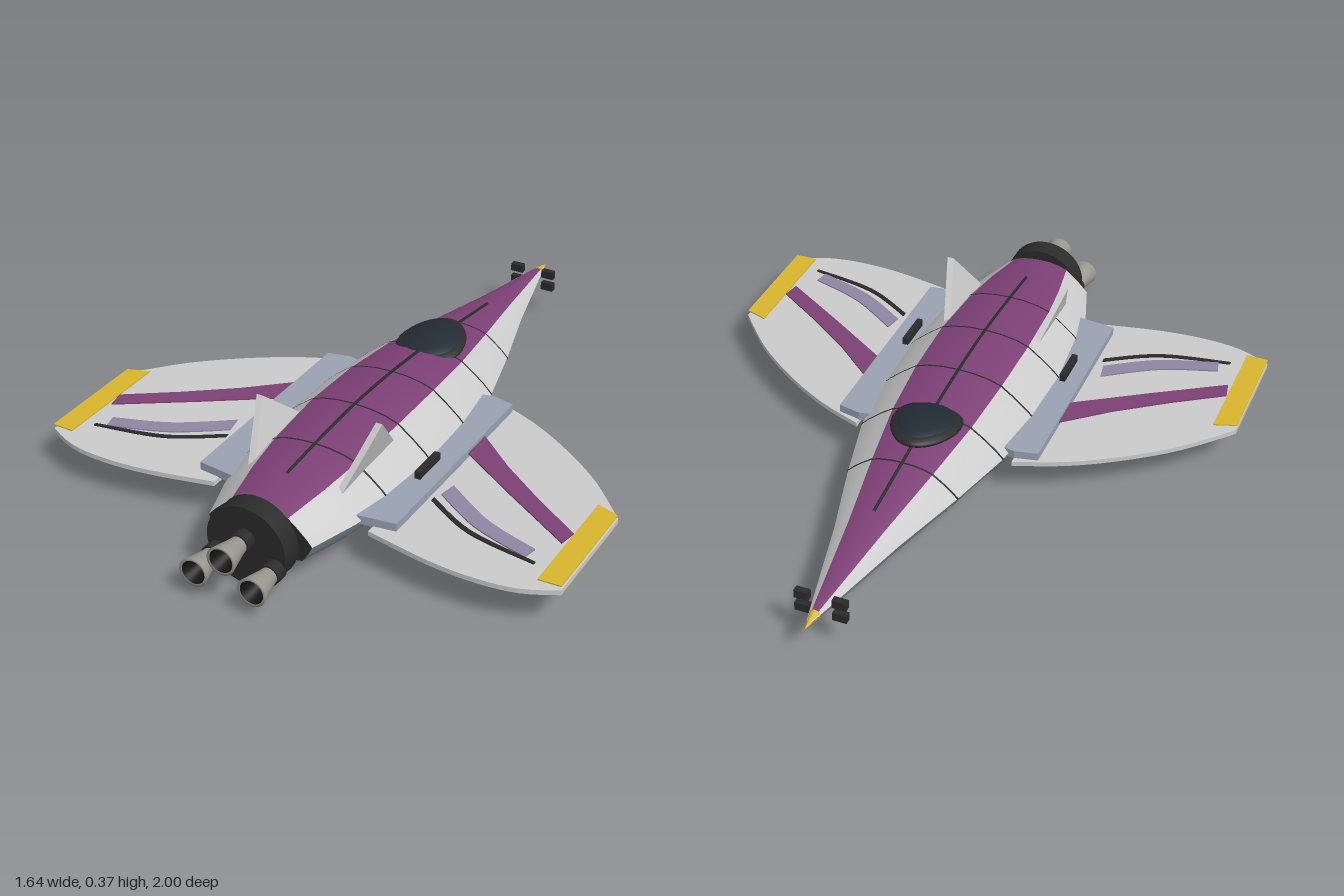
import * as THREE from 'three';

const C = { light: 0xd2d6d6, purple: 0x7d4076, belly: 0x8e96a3, dark: 0x2b2b2b, yellow: 0xd9b62e,
  lavender: 0x8f86a3, pod: 0x9aa3b3, nozzle: 0x99968f, glass: 0x222c36 };

// Hull stations: z, half width, top, bottom
const STATIONS = [
  [-0.97, 0.008, 0.136, 0.124], [-0.9, 0.026, 0.146, 0.114], [-0.75, 0.063, 0.163, 0.1], [-0.6, 0.1, 0.181, 0.086],
  [-0.35, 0.172, 0.214, 0.065], [-0.13, 0.227, 0.24, 0.05], [0.08, 0.253, 0.257, 0.04], [0.3, 0.26, 0.262, 0.038],
  [0.52, 0.241, 0.25, 0.044], [0.66, 0.212, 0.238, 0.052], [0.81, 0.165, 0.222, 0.063]];
const MID = 0.134;
// Unit cross-section pieces, clockwise from the upper left
const TOP = [[-0.55, 0.8], [-0.4, 0.91], [-0.2, 0.98], [0, 1], [0.2, 0.98], [0.4, 0.91], [0.55, 0.8]];
const SIDE = [[0.55, 0.8], [0.72, 0.54], [0.88, 0.26], [1, 0]];
const BELLY = [[1, 0], [0.91, -0.4], [0.8, -0.76], [0.45, -0.94], [0, -1], [-0.45, -0.94], [-0.8, -0.76], [-0.91, -0.4], [-1, 0]];
const SIDE_L = SIDE.map(([x, y]) => [-x, y]).reverse();

function stationAt(z) {
  let i = 0;
  while (i < STATIONS.length - 2 && STATIONS[i + 1][0] < z) i++;
  const a = STATIONS[i], b = STATIONS[i + 1], t = (z - a[0]) / (b[0] - a[0]);
  return a.map((v, k) => v + (b[k] - v) * t);
}

function sectionPoint([z, w, top, bottom], [x, y], grow = 0) {
  const up = y > 0 ? top - MID : MID - bottom;
  return [x * (w + grow), MID + y * (up + grow), z];
}

function loft(stations, profile, grow = 0) {
  const pos = [], idx = [], n = profile.length;
  stations.forEach((s, i) => profile.forEach((p, j) => {
    pos.push(...sectionPoint(s, p, grow));
    if (i && j) {
      const d = i * n + j, c = d - 1, b = d - n, a = b - 1;
      idx.push(a, c, b, b, c, d);
    }
  }));
  const g = new THREE.BufferGeometry();
  g.setAttribute('position', new THREE.Float32BufferAttribute(pos, 3));
  g.setIndex(idx);
  g.computeVertexNormals();
  return g;
}

export function createModel() {
  const model = new THREE.Group();
  const add = (name, geometry, color, opts = {}) => {
    const mesh = new THREE.Mesh(geometry, new THREE.MeshStandardMaterial({ color, ...opts }));
    mesh.name = name;
    model.add(mesh);
    return mesh;
  };
  const both = { side: THREE.DoubleSide };

  // Horizontal plate from an (x, z) outline
  const plate = (name, pts, s, top, thick, color) => {
    const shape = new THREE.Shape(pts.map(([x, z]) => new THREE.Vector2(x * s, z)));
    const g = new THREE.ExtrudeGeometry(shape, { depth: thick, bevelEnabled: false });
    g.rotateX(Math.PI / 2).translate(0, top, 0);
    return add(name, g, color);
  };
  const smooth = (pts) => new THREE.SplineCurve(pts.map(p => new THREE.Vector2(...p))).getPoints(16).map(p => [p.x, p.y]);

  // Hull skin
  add('hullTop', loft(STATIONS, TOP), C.purple, both);
  add('hullSideLeft', loft(STATIONS, SIDE), C.light, both);
  add('hullSideRight', loft(STATIONS, SIDE_L), C.light, both);
  add('hullBelly', loft(STATIONS, BELLY), C.belly, both);
  const ring = [...TOP, ...SIDE.slice(1), ...BELLY.slice(1), ...SIDE_L.slice(1)];
  const tail = STATIONS[STATIONS.length - 1];
  const capShape = new THREE.Shape(ring.slice(0, -1).map(p => new THREE.Vector2(...sectionPoint(tail, p))));
  add('hullRearCap', new THREE.ShapeGeometry(capShape).translate(0, 0, 0.81), C.dark, both);

  // Panel seams and spine line
  for (const z of [-0.35, -0.13, 0.08, 0.3, 0.52])
    add('panelSeam', loft([stationAt(z - 0.003), stationAt(z + 0.003)], ring, 0.002), C.dark, both);
  const spine = [-0.55, -0.35, -0.13, 0.08, 0.3, 0.52, 0.67].map(z => new THREE.Vector3(0, stationAt(z)[2], z));
  add('spineLine', new THREE.TubeGeometry(new THREE.CatmullRomCurve3(spine), 40, 0.005, 6), C.dark);

  // Nose tip and its small thrusters
  add('noseTip', new THREE.ConeGeometry(0.016, 0.065, 12).rotateX(-Math.PI / 2).translate(0, 0.13, -0.9675), C.yellow);
  for (const sx of [-1, 1]) for (const sy of [-1, 1])
    add('noseThruster', new THREE.BoxGeometry(0.042, 0.026, 0.02).translate(sx * 0.056, 0.13 + sy * 0.022, -0.895), C.dark);

  // Egg-shaped canopy with frame
  const egg = (name, rx, ry, rz, y, color) => {
    const g = new THREE.SphereGeometry(1, 32, 16);
    const p = g.attributes.position;
    for (let i = 0; i < p.count; i++) {
      const z = p.getZ(i);
      p.setXYZ(i, p.getX(i) * rx * (1 + 0.18 * z), p.getY(i) * ry, z * rz);
    }
    g.computeVertexNormals();
    g.rotateX(0.1).translate(0, y, -0.18);
    add(name, g, color);
  };
  egg('canopyFrame', 0.104, 0.026, 0.127, 0.233, C.dark);
  egg('canopyGlass', 0.094, 0.032, 0.114, 0.234, C.glass);

  // Mirrored parts
  const leading = [[0.25, -0.12], [0.4, -0.06], [0.55, 0.03], [0.69, 0.14], [0.82, 0.28]];
  const trailing = [[0.82, 0.65], [0.72, 0.695], [0.6, 0.71], [0.45, 0.7], [0.25, 0.66]];
  const stripe = [[0.3, 0.08], [0.45, 0.21], [0.6, 0.32], [0.75, 0.42], [0.74, 0.475], [0.52, 0.335], [0.3, 0.19]];
  const flap = [...smooth([[0.36, 0.37], [0.52, 0.475], [0.69, 0.535]]), ...smooth([[0.68, 0.58], [0.5, 0.52], [0.35, 0.425]])];
  const slot = [...smooth([[0.34, 0.448], [0.5, 0.54], [0.715, 0.586]]), ...smooth([[0.715, 0.596], [0.5, 0.555], [0.34, 0.464]])];
  const tip = [[0.752, 0.262], [0.82, 0.285], [0.82, 0.65], [0.752, 0.652]];
  for (const s of [1, -1]) {
    const side = s > 0 ? 'left' : 'right';
    plate(side + 'Wing', [...smooth(leading), ...smooth(trailing)], s, 0.125, 0.015, C.light);
    // Raised wing panels above, flush ones below
    for (const [top, thick] of [[0.14, 0.004], [0.1105, 0.002]]) {
      plate(side + 'WingStripe', stripe, s, top, thick, C.purple);
      plate(side + 'WingFlap', flap, s, top, thick, C.lavender);
      plate(side + 'WingSlot', slot, s, top, thick, C.dark);
      plate(side + 'WingTip', tip, s, top, thick, C.yellow);
    }
    // Side pod between hull and wing
    plate(side + 'Pod', [[0.2, -0.09], [0.25, -0.1], [0.32, -0.085], [0.32, 0.2], [0.318, 0.625], [0.2, 0.64]], s, 0.15, 0.027, C.pod);
    add(side + 'PodVent', new THREE.BoxGeometry(0.018, 0.032, 0.12).translate(s * 0.263, 0.157, 0.345), C.dark);

    // Canted triangular fin
    const tipY = s > 0 ? 0.365 : 0.344;
    const fin = new THREE.ExtrudeGeometry(
      new THREE.Shape([[0.35, 0.215], [0.5, tipY], [0.63, 0.195]].map(p => new THREE.Vector2(...p))),
      { depth: 0.02, bevelEnabled: false });
    const p = fin.attributes.position;
    for (let i = 0; i < p.count; i++) {
      const z = p.getX(i), y = p.getY(i), x = 0.155 - p.getZ(i) + (y - 0.205) * 0.32;
      p.setXYZ(i, x, y, z);
    }
    if (s < 0) {
      fin.scale(-1, 1, 1);
    }
    fin.computeVertexNormals();
    add(side + 'Fin', fin, 0xcccccc, both);
  }

  // Engine ring
  add('engineRing', new THREE.CylinderGeometry(0.125, 0.125, 0.065, 40).rotateX(Math.PI / 2).translate(0, 0.125, 0.848), C.dark);

  // Three flared nozzles
  const bell = [[0.024, 0.9], [0.028, 0.93], [0.035, 0.96], [0.044, 1]];
  const inner = [[0.036, 0.999], [0.027, 0.96], [0.02, 0.93], [0, 0.925]];
  const lathe = (pts) => new THREE.LatheGeometry(pts.map(q => new THREE.Vector2(...q)), 28).rotateX(Math.PI / 2);
  for (const [x, y] of [[0, 0.153], [-0.092, 0.084], [0.092, 0.084]]) {
    add('nozzleCollar', new THREE.CylinderGeometry(0.031, 0.031, 0.04, 24).rotateX(Math.PI / 2).translate(x, y, 0.895), C.dark);
    add('nozzleBell', lathe([...bell, [0.036, 0.999]]).translate(x, y, 0), C.nozzle, both);
    add('nozzleInside', lathe(inner).translate(x, y, 0), 0x151515, both);
  }

  // Row of belly vents
  for (let i = 0; i < 4; i++)
    add('bellyVent', new THREE.SphereGeometry(0.012, 12, 8).translate(-0.063 + i * 0.042, 0.057, 0.7), C.dark);

  return model;
}
